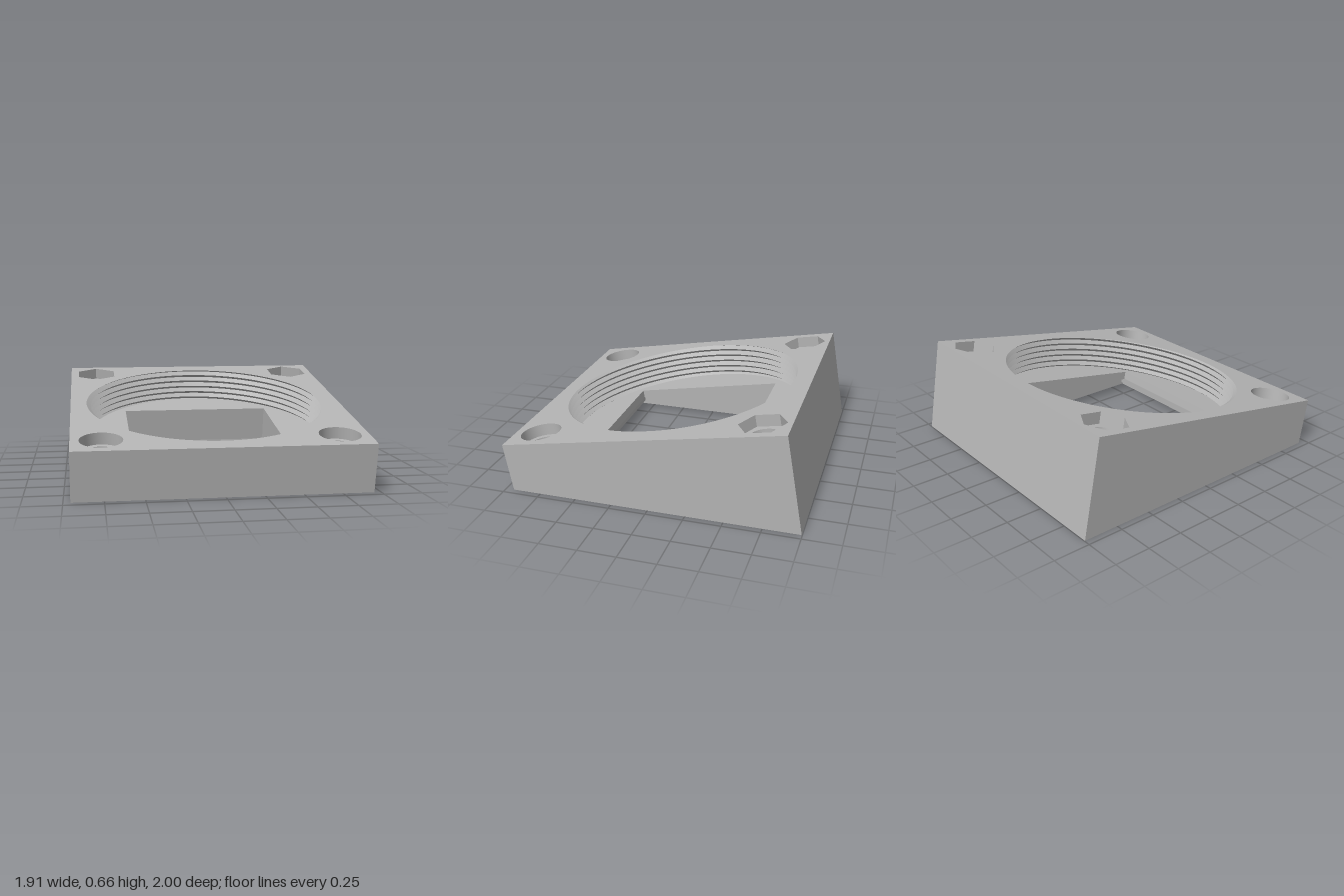
import * as THREE from 'three';
import { toCreasedNormals } from 'three/addons/utils/BufferGeometryUtils.js';

const TILT = Math.PI / 18, SIN = Math.sin(TILT), COS = Math.cos(TILT);
const TOP_Y = 0.49, TOP_Z = 0.06;      // centre of the sloping top
const HALF = 0.955, BOLT = 0.762;      // half width, bolt offset
const BORE_DEPTH = 0.24, PITCH = 0.045, POCKET = 0.08;
const THROAT = 0.545, LEDGE_Y = 0.1;

// Point in the sloping frame: x across, s towards the back, d down from the top
const tilted = (x, s, d) =>
  new THREE.Vector3(x, TOP_Y + s * SIN - d * COS, TOP_Z - s * COS - d * SIN);
// The same, but followed down the sloping axis to height y
const dropped = (x, s, y) => tilted(x, s, (TOP_Y + s * SIN - y) / COS);

const square = h => [[h, -h], [h, h], [-h, h], [-h, -h]];
const ring = (cx, cs, r, n, start = 0) => Array.from({ length: n }, (_, i) => {
  const a = start + i / n * Math.PI * 2;
  return [cx + r * Math.cos(a), cs + r * Math.sin(a)];
});
const at = (loop, d) => loop.map(([x, s]) => tilted(x, s, d));
const down = (loop, y) => loop.map(([x, s]) => dropped(x, s, y));
const level = (h, y) => square(h).map(([x, s]) => new THREE.Vector3(x, y, -0.04 - s));

function geometry(triangles) {
  const g = new THREE.BufferGeometry();
  const real = triangles.filter(t => new THREE.Triangle(...t).getArea() > 1e-9);
  g.setFromPoints(real.flat());
  g.computeVertexNormals();
  return toCreasedNormals(g, 0.5);
}

// Flat sheet with holes, facing up or down
function sheet(outer, holes, up) {
  const flat = l => l.map(p => new THREE.Vector2(p.x, -p.z));
  const points = [outer, ...holes].flat();
  const faces = THREE.ShapeUtils.triangulateShape(flat(outer), holes.map(flat));
  return geometry(faces.map(f => {
    const t = f.map(i => points[i]);
    const ccw = THREE.ShapeUtils.area(flat(t)) > 0;
    return ccw === up ? t : t.reverse();
  }));
}

// Walls between successive loops from top to bottom
function walls(loops, outward = false, closed = true) {
  const tris = [];
  for (let k = 0; k + 1 < loops.length; k++) {
    const a = loops[k], b = loops[k + 1], n = a.length;
    for (let i = 0; i < (closed ? n : n - 1); i++) {
      const j = (i + 1) % n;
      const quad = [[b[i], b[j], a[j]], [b[i], a[j], a[i]]];
      tris.push(...quad.map(t => outward ? t : t.reverse()));
    }
  }
  return geometry(tris);
}

// Thread radius for a number of turns along the helix
function threadRadius(turns) {
  const f = turns - Math.floor(turns);
  return 0.815 + 0.03 * (1 - Math.abs(2 * f - 1));
}

export function createModel() {
  const model = new THREE.Group();
  model.name = 'wedgeAdapter';
  const grey = new THREE.MeshStandardMaterial({ color: 0xb4b4b4 });
  grey.name = 'grey';
  const add = (name, geo) => {
    const mesh = new THREE.Mesh(geo, grey);
    mesh.name = name;
    model.add(mesh);
  };

  // Wedge sides
  const outline = square(HALF);
  add('outerWalls', walls([at(outline, 0), down(outline, 0)], true));

  // Bolt holes: hexagonal pockets at the back, round ones at the front
  const topHoles = [], bottomHoles = [];
  for (const x of [-BOLT, BOLT]) for (const s of [-BOLT, BOLT]) {
    const pocket = s > 0 ? ring(x, s, 0.158, 6, Math.PI / 2) : ring(x, s, 0.137, 48);
    const bolt = ring(x, s, 0.1, 40);
    add(s > 0 ? 'hexPocket' : 'roundPocket', walls([at(pocket, 0), at(pocket, POCKET)]));
    add('pocketFloor', sheet(at(pocket, POCKET), [at(bolt, POCKET)], true));
    add('boltHole', walls([at(bolt, POCKET), down(bolt, 0)]));
    topHoles.push(at(pocket, 0));
    bottomHoles.push(down(bolt, 0));
  }

  // Threaded bore: crest and root lines follow a helix, trimmed at both ends
  const N = 120;
  const boreRing = depthAt => Array.from({ length: N + 1 }, (_, i) => {
    const f = i / N, a = f * Math.PI * 2;
    const d = THREE.MathUtils.clamp(depthAt(f), 0, BORE_DEPTH);
    const r = threadRadius(d / PITCH + f);
    return tilted(r * Math.cos(a), r * Math.sin(a), d);
  });
  const thread = [];
  for (let k = 0; k <= 2 * BORE_DEPTH / PITCH + 3; k++) {
    thread.push(boreRing(f => (k / 2 - f) * PITCH));
  }
  add('boreThread', walls(thread, false, false));
  const rim = boreRing(() => 0).slice(0, N);
  const boreEnd = boreRing(() => BORE_DEPTH).slice(0, N);
  add('topFace', sheet(at(outline, 0), [rim, ...topHoles], true));

  // Square throat through the bore floor
  const throat = square(THROAT);
  add('boreFloor', sheet(boreEnd, [at(throat, BORE_DEPTH)], true));
  add('throatWalls', walls([at(throat, BORE_DEPTH), down(throat, LEDGE_Y)]));

  // Two-step recess in the underside
  add('upperLedge', sheet(level(0.6, LEDGE_Y), [down(throat, LEDGE_Y)], false));
  add('upperRecessWalls', walls([level(0.6, LEDGE_Y), level(0.6, 0.05)]));
  add('lowerLedge', sheet(level(0.655, 0.05), [level(0.6, 0.05)], false));
  add('lowerRecessWalls', walls([level(0.655, 0.05), level(0.655, 0)]));
  add('bottomFace', sheet(down(outline, 0), [level(0.655, 0), ...bottomHoles], false));

  return model;
}
